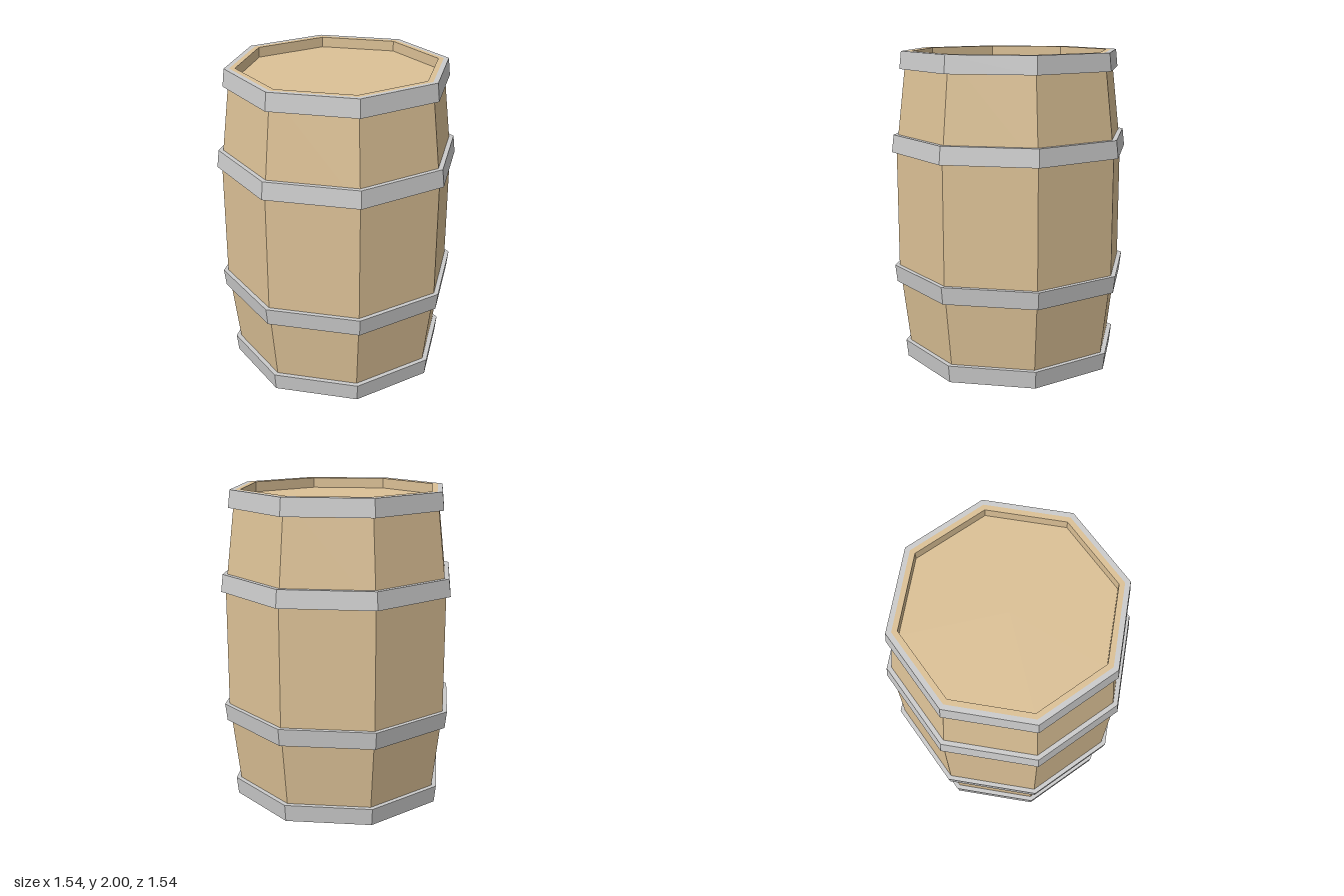
import * as THREE from 'three';

const SIDES = 8;

// Turns an [r, y] outline into a faceted eight-sided mesh
function turned(name, outline, material) {
  const points = outline.map(([r, y]) => new THREE.Vector2(r, y));
  const mesh = new THREE.Mesh(new THREE.LatheGeometry(points, SIDES), material);
  mesh.name = name;
  return mesh;
}

export function createModel() {
  const wood = new THREE.MeshStandardMaterial({ color: 0xdcc196 });
  const metal = new THREE.MeshStandardMaterial({ color: 0xcccccc });
  wood.flatShading = metal.flatShading = true;

  const barrel = new THREE.Group();
  barrel.name = 'barrel';

  // Wooden body: lower half outline, mirrored about y = 1, with recessed ends
  const lower = [[0, 0.065], [0.63, 0.065], [0.63, 0], [0.665, 0], [0.74, 0.63]];
  const upper = lower.map(([r, y]) => [r, 2 - y]).reverse();
  barrel.add(turned('woodenBody', [...lower, ...upper], wood));

  // Hoops: [inner, outer] radii at the edge nearer the end, then nearer the middle
  const hoops = [
    { name: 'EndHoop', y0: 0, y1: 0.11, end: [0.665, 0.698], mid: [0.678, 0.71] },
    { name: 'BellyHoop', y0: 0.52, y1: 0.63, end: [0.726, 0.757], mid: [0.739, 0.77] },
  ];
  for (const { name, y0, y1, end, mid } of hoops) {
    const section = [[end[0], y0], [end[1], y0], [mid[1], y1], [mid[0], y1], [end[0], y0]];
    const mirrored = section.map(([r, y]) => [r, 2 - y]).reverse();
    barrel.add(turned('lower' + name, section, metal));
    barrel.add(turned('upper' + name, mirrored, metal));
  }

  return barrel;
}
